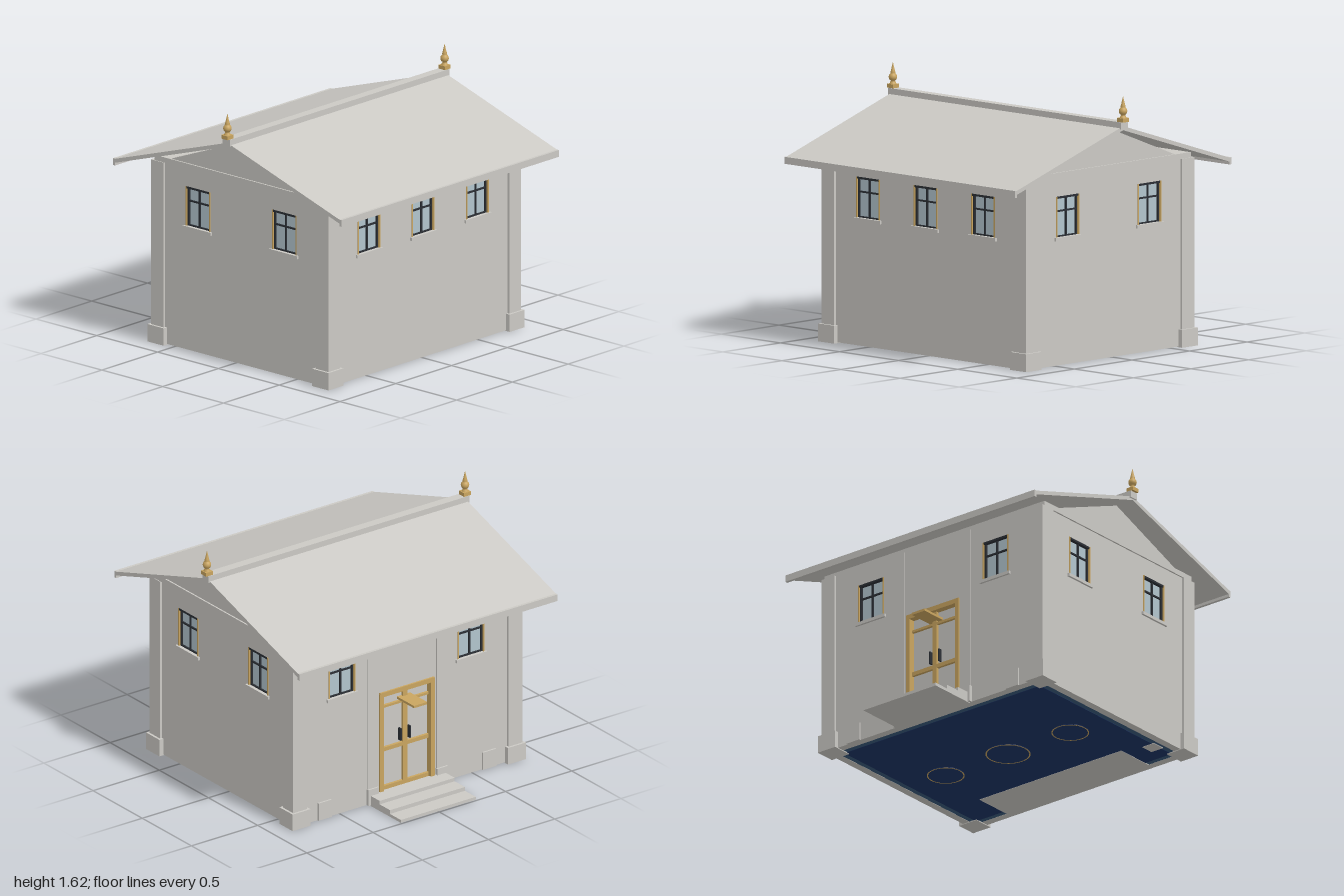
import * as THREE from 'three';

const material = (name, color) => {
  const m = new THREE.MeshStandardMaterial({ color });
  m.name = name;
  return m;
};

export function createModel() {
  const stone = material('stone', 0xcbc9c4);
  const glass = material('glass', 0xb2c4cd);
  const dark = material('darkFrame', 0x2b2f35);
  const gold = material('gold', 0xc9a560);
  const navy = material('navyCarpet', 0x1c3364);
  const slate = material('slateFloor', 0x38587a);

  const model = new THREE.Group();
  model.name = 'hall';
  // The building sits slightly to the left of the origin, as the steps stick out on the right
  const house = new THREE.Group();
  house.name = 'house';
  house.position.x = 0.05;
  model.add(house);

  const add = (parent, name, geometry, mat) => {
    const mesh = new THREE.Mesh(geometry, mat);
    mesh.name = name;
    parent.add(mesh);
    return mesh;
  };
  // Box given by its limits on each axis
  const box = (parent, name, mat, x0, x1, y0, y1, z0, z1) => {
    const mesh = add(parent, name, new THREE.BoxGeometry(x1 - x0, y1 - y0, z1 - z0), mat);
    mesh.position.set((x0 + x1) / 2, (y0 + y1) / 2, (z0 + z1) / 2);
    return mesh;
  };
  const extrude = (points, depth, holes = []) => {
    const shape = new THREE.Shape(points.map(([x, y]) => new THREE.Vector2(x, y)));
    for (const [x0, x1, y0, y1] of holes) {
      shape.holes.push(new THREE.Path([[x0, y0], [x0, y1], [x1, y1], [x1, y0]]
        .map(([x, y]) => new THREE.Vector2(x, y))));
    }
    return new THREE.ExtrudeGeometry(shape, { depth, bevelEnabled: false });
  };

  // Window set in an opening; d is the distance of the wall face
  const addWindow = (wall, u, d) => {
    const w = new THREE.Group();
    w.name = 'window';
    w.position.set(u, 0, d);
    wall.add(w);
    box(w, 'glassPane', glass, -0.095, 0.095, 0.79, 1.035, -0.03, -0.02);
    for (const s of [-1, 1]) {
      box(w, 'goldJamb', gold, s * 0.0965 - 0.0045, s * 0.0965 + 0.0045, 0.79, 1.04, -0.045, 0.003);
      box(w, 'sideFrame', dark, s * 0.087 - 0.005, s * 0.087 + 0.005, 0.79, 1.035, -0.035, -0.008);
    }
    box(w, 'topFrame', dark, -0.1, 0.1, 1.027, 1.04, -0.04, 0.002);
    box(w, 'bottomFrame', dark, -0.092, 0.092, 0.788, 0.798, -0.035, -0.008);
    box(w, 'mullion', dark, -0.005, 0.005, 0.795, 1.03, -0.035, -0.01);
    box(w, 'transom', dark, -0.09, 0.09, 0.943, 0.953, -0.035, -0.01);
    box(w, 'sill', stone, -0.115, 0.115, 0.77, 0.79, -0.04, 0.014);
  };

  const addWall = (name, angle, half, d, windows, hasDoor) => {
    const wall = new THREE.Group();
    wall.name = name;
    wall.rotation.y = angle;
    house.add(wall);
    const holes = windows.map(u => [u - 0.1, u + 0.1, 0.79, 1.04]);
    if (hasDoor) holes.push([-0.2, 0.2, 0.03, 0.72]);
    const panel = add(wall, 'wallPanel',
      extrude([[-half, 0.005], [half, 0.005], [half, 1.156], [-half, 1.156]], 0.05, holes), stone);
    panel.position.z = d - 0.05;
    for (const u of windows) addWindow(wall, u, d);
    return wall;
  };

  // Walls
  const DX = 0.715, DZ = 0.85;
  addWall('frontWall', 0, 0.7, DZ, [-0.355, 0.355]);
  addWall('backWall', Math.PI, 0.7, DZ, [-0.355, 0.355]);
  addWall('leftWall', Math.PI / 2, 0.83, DX, [-0.487, 0, 0.487]);
  const doorWall = addWall('rightWall', -Math.PI / 2, 0.83, DX, [-0.487, 0.487], true);

  // Double door with gold frame and rails
  const door = new THREE.Group();
  door.name = 'door';
  door.position.z = DX;
  doorWall.add(door);
  box(door, 'doorPanel', stone, -0.2, 0.2, 0.03, 0.72, -0.045, -0.03);
  box(door, 'doorHead', gold, -0.205, 0.205, 0.695, 0.725, -0.045, 0.012);
  box(door, 'lightRail', gold, -0.19, 0.19, 0.61, 0.625, -0.04, -0.012);
  box(door, 'middleRail', gold, -0.19, 0.19, 0.32, 0.345, -0.04, -0.012);
  box(door, 'bottomRail', gold, -0.19, 0.19, 0.06, 0.09, -0.04, -0.012);
  box(door, 'meetingStile', gold, -0.016, 0.016, 0.06, 0.7, -0.04, -0.01);
  box(door, 'canopy', gold, -0.05, 0.05, 0.635, 0.65, -0.03, 0.145);
  for (const s of [-1, 1]) {
    box(door, 'doorPost', gold, s * 0.192 - 0.014, s * 0.192 + 0.014, 0.03, 0.72, -0.045, 0.012);
    box(door, 'handle', dark, s * 0.035 - 0.005, s * 0.035 + 0.005, 0.36, 0.44, -0.03, -0.005);
    // Slim wall strips and low plinth blocks either side
    box(door, 'wallStrip', stone, s * 0.26 - 0.035, s * 0.26 + 0.035, 0.005, 1.156, -0.01, 0.008);
    box(door, 'stripBase', stone, s * 0.26 - 0.04, s * 0.26 + 0.04, 0.005, 0.11, -0.01, 0.02);
    box(door, 'plinthBlock', stone, s * 0.62 - 0.05, s * 0.62 + 0.05, 0.005, 0.12, -0.01, 0.012);
  }

  // Steps up to the door
  [[-0.99, 0.02], [-0.88, 0.045], [-0.775, 0.068]].forEach(([x, y]) =>
    box(model, 'step', stone, x, -0.66, 0.001, y, -0.283, 0.283));

  // Corner pilasters with bases
  for (const sx of [-1, 1]) for (const sz of [-1, 1]) {
    const x = sx * 0.6775, z = sz * 0.8125;
    box(house, 'cornerPilaster', stone, x - 0.0525, x + 0.0525, 0.1, 1.155, z - 0.0525, z + 0.0525);
    box(house, 'pilasterBase', stone, x - 0.0675, x + 0.0675, 0, 0.11, z - 0.0675, z + 0.0675);
  }

  // Ceiling beam and gables
  box(house, 'ceilingBeam', stone, -0.705, 0.705, 1.155, 1.188, -0.86, 0.86);
  for (const s of [-1, 1]) {
    const gable = add(house, 'gable', extrude([[-0.58, 1.186], [0.58, 1.186], [0, 1.412]], 0.05), stone);
    gable.position.z = s * 0.825 - 0.025;
  }

  // Roof slabs, eave boards and ridge
  const roof = add(house, 'roof', extrude([[-0.93, 1.115], [0, 1.412], [0.93, 1.115],
    [0.93, 1.14], [0, 1.437], [-0.93, 1.14]], 1.95), stone);
  roof.position.z = -0.975;
  for (const s of [-1, 1]) {
    box(house, 'eaveBoard', stone, s * 0.931 - 0.009, s * 0.931 + 0.009, 1.1, 1.143, -0.975, 0.975);
  }
  box(house, 'ridge', stone, -0.03, 0.03, 1.42, 1.464, -0.985, 0.985);

  // Finials at both ends of the ridge
  const profile = [[0.022, 1.485], [0.016, 1.5], [0.012, 1.506], [0.02, 1.512], [0.025, 1.522],
    [0.026, 1.53], [0.024, 1.54], [0.018, 1.549], [0.013, 1.553], [0.016, 1.557], [0.012, 1.57], [0, 1.622]]
    .map(([r, y]) => new THREE.Vector2(r, y));
  for (const s of [-1, 1]) {
    box(house, 'finialBase', gold, -0.026, 0.026, 1.464, 1.488, s * 0.974 - 0.026, s * 0.974 + 0.026);
    add(house, 'finial', new THREE.LatheGeometry(profile, 20), gold).position.z = s * 0.974;
  }

  // Floor with carpet, dais and ringed medallions on its underside
  box(house, 'floor', slate, -0.675, 0.675, 0.006, 0.03, -0.81, 0.81);
  box(house, 'carpet', navy, -0.63, 0.63, 0.004, 0.01, -0.765, 0.765);
  box(house, 'dais', stone, 0.4, 0.665, 0.002, 0.06, -0.55, 0.56);
  box(house, 'pedestal', stone, 0.44, 0.53, 0.002, 0.06, 0.69, 0.78);
  for (const [z, r] of [[-0.487, 0.115], [0, 0.137], [0.487, 0.115]]) {
    const disc = add(house, 'medallion', new THREE.CylinderGeometry(r, r, 0.004, 40), navy);
    disc.position.set(0, 0.003, z);
    const ring = add(house, 'medallionRing', new THREE.RingGeometry(r - 0.008, r, 40), gold);
    ring.rotation.x = Math.PI / 2;
    ring.position.set(0, 0, z);
  }
  return model;
}
